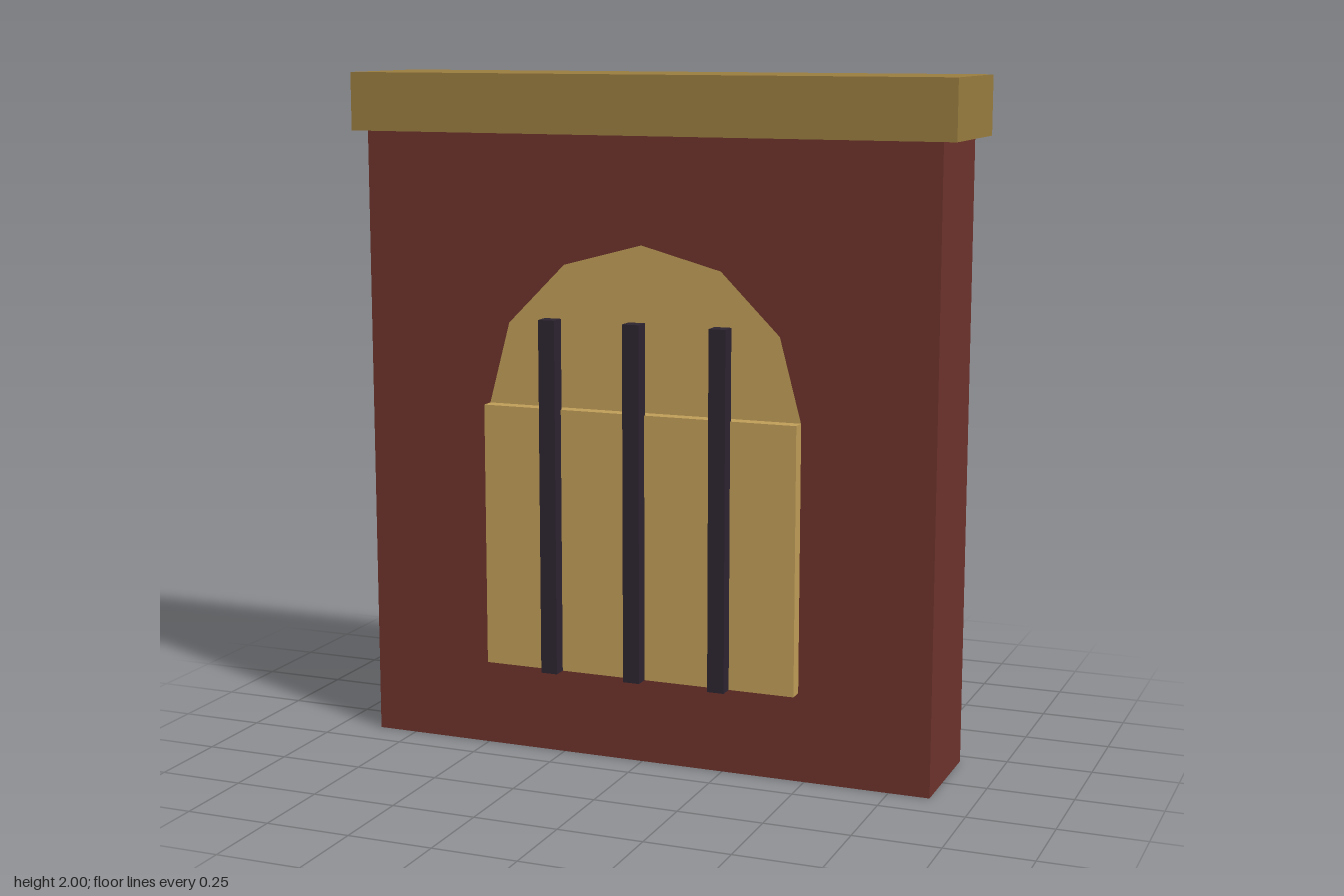
import * as THREE from 'three';

const material = (name, color) => {
  const m = new THREE.MeshStandardMaterial({ color });
  m.name = name;
  return m;
};

export function createModel() {
  const group = new THREE.Group();
  const brick = material('brick red', 0x6e332d);
  const stone = material('dark gold', 0x9a7d40);
  const glow = material('pale gold', 0xbf9d57);
  const iron = material('dark iron', 0x2c2430);

  // Box given by its extents on each axis
  const box = (name, mat, [x0, x1], [y0, y1], [z0, z1]) => {
    const mesh = new THREE.Mesh(new THREE.BoxGeometry(x1 - x0, y1 - y0, z1 - z0), mat);
    mesh.position.set((x0 + x1) / 2, (y0 + y1) / 2, (z0 + z1) / 2);
    mesh.name = name;
    group.add(mesh);
  };

  box('wall', brick, [-0.87, 0.87], [0, 1.83], [-0.203, 0.142]);
  box('coping', stone, [-0.912, 0.912], [1.83, 2], [-0.227, 0.164]);
  box('windowPanel', glow, [-0.48, 0.48], [0.262, 1.042], [0.142, 0.185]);

  // Faceted half-round window head, almost flush with the wall
  const arch = new THREE.Mesh(new THREE.CircleGeometry(0.48, 6, 0, Math.PI), glow);
  arch.position.set(0, 1.042, 0.144);
  arch.name = 'windowArch';
  group.add(arch);

  // Window bars
  for (const x of [-0.26, 0, 0.26]) {
    box('windowBar', iron, [x - 0.025, x + 0.025], [0.262, 1.306], [0.179, 0.227]);
  }
  return group;
}
